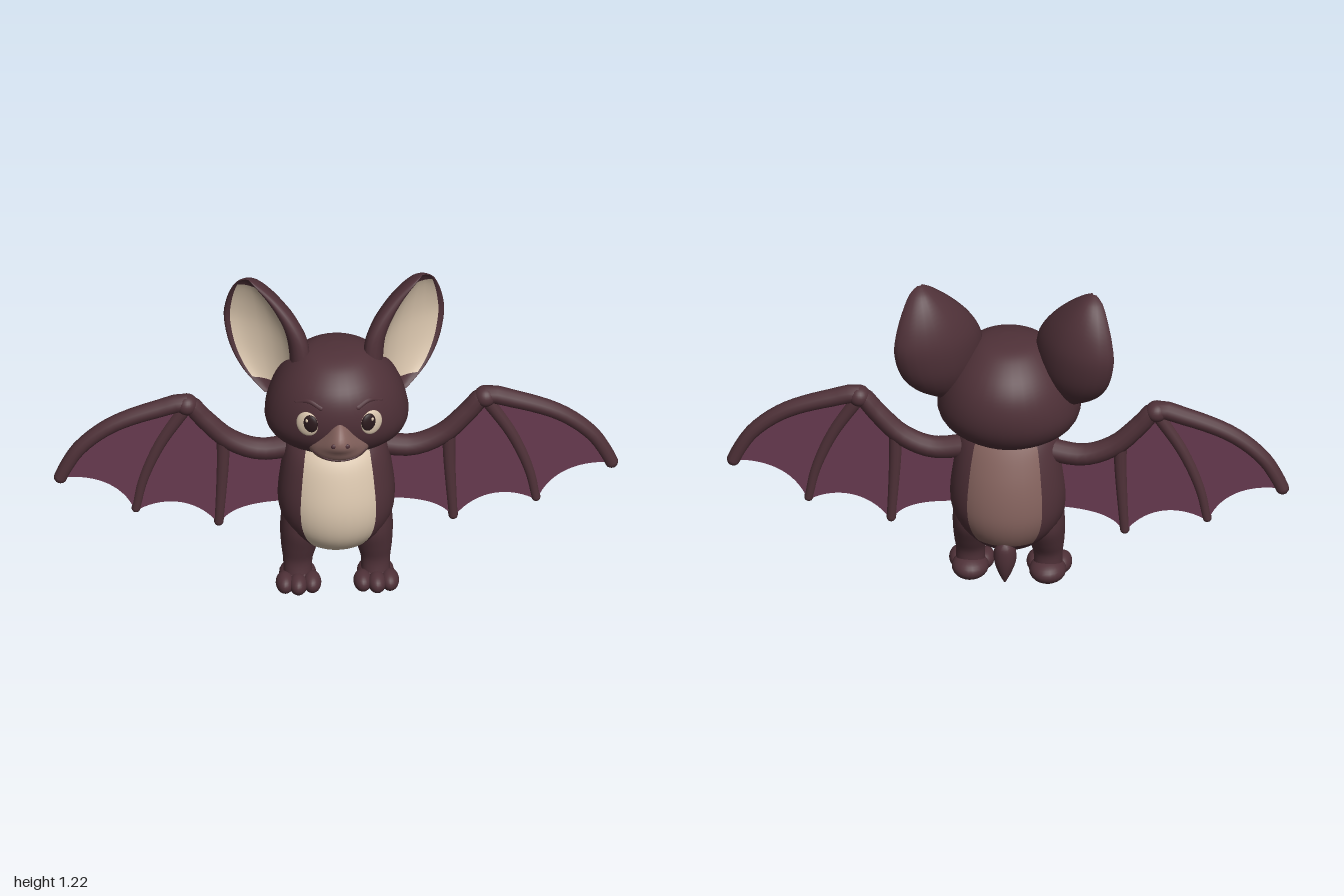
import * as THREE from 'three';

const mat = (name, color) => {
  const m = new THREE.MeshStandardMaterial({ color });
  m.name = name;
  return m;
};

// Adds smooth in-between rows to a list of number rows
function smooth(rows, n) {
  const out = [], at = (i) => rows[Math.min(Math.max(i, 0), rows.length - 1)];
  for (let i = 0; i < rows.length - 1; i++) {
    for (let s = 0; s < n; s++) {
      const t = s / n;
      out.push(rows[i].map((b, k) => {
        const a = at(i - 1)[k], c = at(i + 1)[k], d = at(i + 2)[k];
        return b + 0.5 * t * (c - a + t * (2 * a - 5 * b + 4 * c - d + t * (3 * (b - c) + d - a)));
      }));
    }
  }
  out.push(rows[rows.length - 1]);
  return out;
}

// Skins a stack of rings; pick(row, column) gives the material index of a face
function loft(rings, pick = () => 0) {
  const n = rings[0].length, faces = [[], [], []], pos = [];
  rings.forEach((r) => r.forEach((p) => pos.push(...p)));
  for (const r of [rings[0], rings[rings.length - 1]]) {
    for (let k = 0; k < 3; k++) pos.push(r.reduce((s, p) => s + p[k], 0) / n);
  }
  const last = rings.length - 1, low = rings.length * n;
  for (let j = 0; j < n; j++) {
    const j1 = (j + 1) % n;
    faces[pick(0, j)].push(low, j1, j);
    for (let i = 0; i < last; i++) {
      const a = i * n + j, b = i * n + j1;
      faces[pick(i, j)].push(a, b, b + n, a, b + n, a + n);
    }
    faces[pick(last, j)].push(low + 1, last * n + j, last * n + j1);
  }
  const g = new THREE.BufferGeometry();
  g.setAttribute('position', new THREE.Float32BufferAttribute(pos, 3));
  g.setIndex(faces.flat());
  let start = 0;
  faces.forEach((f, k) => {
    if (f.length) g.addGroup(start, f.length, k);
    start += f.length;
  });
  g.computeVertexNormals();
  return g;
}

// Ring from row [y, half width, front z, back z, widest z, centre x]
const oval = ([y, rx, zf, zb, cz, cx = 0], n = 36) => Array.from({ length: n }, (_, j) => {
  const a = (j / n) * Math.PI * 2, c = Math.cos(a);
  return [cx + rx * Math.sin(a), y, cz + c * (c > 0 ? zf - cz : cz - zb)];
});

// Tube whose radius runs from r0 to r1, with round ends
function limb(name, pts, r0, r1, material) {
  const curve = new THREE.CatmullRomCurve3(pts.map(([x, y, z = -0.06]) => new THREE.Vector3(x, y, z)));
  const seg = 32, rad = 12, g = new THREE.TubeGeometry(curve, seg, 1, rad);
  const p = g.attributes.position, v = new THREE.Vector3(), group = new THREE.Group();
  for (let i = 0; i < p.count; i++) {
    const t = Math.floor(i / (rad + 1)) / seg, c = curve.getPointAt(t);
    v.fromBufferAttribute(p, i).sub(c).multiplyScalar(r0 + (r1 - r0) * t).add(c);
    p.setXYZ(i, v.x, v.y, v.z);
  }
  group.name = name;
  group.add(new THREE.Mesh(g, material));
  [[0, r0], [1, r1]].forEach(([t, r]) => {
    const end = new THREE.Mesh(new THREE.SphereGeometry(r, 12, 8), material);
    end.position.copy(curve.getPointAt(t));
    group.add(end);
  });
  group.children.forEach((m) => { m.name = name; });
  return group;
}

export function createModel() {
  const fur = mat('dark fur', 0x4f3138), cream = mat('cream', 0xd8c4ac), mauve = mat('mauve skin', 0x84625d);
  const lip = mat('lip', 0x927565), skin = mat('wing skin', 0x683a50), black = mat('pupil', 0x2a191c);
  skin.side = THREE.DoubleSide;
  const model = new THREE.Group();
  const add = (parent, name, geometry, material) => {
    const m = new THREE.Mesh(geometry, material);
    m.name = name;
    parent.add(m);
    return m;
  };
  const ball = (parent, name, material, at, size) => {
    const m = add(parent, name, new THREE.SphereGeometry(1, 24, 16).scale(...size), material);
    m.position.set(...at);
    return m;
  };

  // Body with belly and back patches
  const bodyRows = smooth([
    [0.15, 0.05, 0, -0.1, -0.04], [0.17, 0.1, 0.05, -0.14, -0.04], [0.2, 0.14, 0.09, -0.175, -0.04],
    [0.25, 0.18, 0.125, -0.205, -0.04], [0.31, 0.203, 0.142, -0.22, -0.04], [0.38, 0.208, 0.143, -0.218, -0.04],
    [0.46, 0.2, 0.127, -0.203, -0.04], [0.54, 0.187, 0.1, -0.177, -0.04], [0.6, 0.17, 0.06, -0.15, -0.04],
    [0.65, 0.13, 0.03, -0.12, -0.04]], 4);
  add(model, 'body', loft(bodyRows.map((r) => oval(r)), (i, j) => {
    if (j < 4 || j > 31) return 1;
    return j > 13 && j < 22 && bodyRows[i][0] > 0.2 ? 2 : 0;
  }), [fur, cream, mauve]);

  // Head, wide at the cheeks
  const headRows = smooth([
    [0.582, 0.07, 0.03, -0.12, -0.03], [0.6, 0.15, 0.09, -0.165, -0.02], [0.64, 0.222, 0.145, -0.215, -0.02],
    [0.7, 0.254, 0.187, -0.25, -0.02], [0.77, 0.249, 0.204, -0.262, -0.02], [0.84, 0.225, 0.199, -0.25, -0.02],
    [0.9, 0.188, 0.172, -0.215, -0.02], [0.95, 0.14, 0.118, -0.16, -0.02], [0.975, 0.095, 0.065, -0.11, -0.02],
    [0.985, 0.03, 0.01, -0.05, -0.02]], 4);
  add(model, 'head', loft(headRows.map((r) => oval(r))), fur);

  // Muzzle, with a lighter lower lip
  const muzzleRows = smooth([
    [0.61, 0.05, 0.15, 0.05, 0.1], [0.63, 0.09, 0.19, 0.05, 0.1], [0.66, 0.112, 0.226, 0.05, 0.1],
    [0.69, 0.108, 0.24, 0.05, 0.1], [0.72, 0.084, 0.258, 0.05, 0.1], [0.75, 0.06, 0.255, 0.05, 0.1],
    [0.78, 0.04, 0.227, 0.05, 0.1], [0.8, 0.02, 0.195, 0.05, 0.1]], 3);
  add(model, 'muzzle', loft(muzzleRows.map((r) => oval(r)), (i) => (muzzleRows[i][0] < 0.659 ? 1 : 0)), [mauve, lip]);
  model.add(limb('mouth', [[-0.09, 0.672, 0.179], [-0.05, 0.66, 0.212], [0, 0.656, 0.222],
    [0.05, 0.66, 0.212], [0.09, 0.672, 0.179]], 0.004, 0.004, fur));

  // Tail
  const tailRows = smooth([[0.06, 0.004, -0.168, -0.176, -0.172], [0.1, 0.024, -0.145, -0.193, -0.17],
    [0.15, 0.04, -0.123, -0.203, -0.165], [0.2, 0.035, -0.13, -0.202, -0.165], [0.225, 0.01, -0.16, -0.185, -0.17]], 4);
  add(model, 'tail', loft(tailRows.map((r) => oval(r, 16))), fur);

  // Ear section: u across, n towards the opening
  const section = new THREE.CatmullRomCurve3([
    [-1, 0], [-0.88, 0.25], [-0.68, 0.22], [-0.54, 0], [0, -0.28], [0.55, -0.2], [0.84, 0.02],
    [0.93, 0.1], [1, 0], [0.87, -0.5], [0.5, -0.88], [0, -1], [-0.5, -0.78], [-0.9, -0.35],
  ].map(([u, n]) => new THREE.Vector3(u, n, 0)), true);
  // Ear rows: y, x, z, half width, depth
  const earRows = smooth([
    [0.76, 0.22, -0.06, 0.04, 0.03], [0.82, 0.227, -0.07, 0.12, 0.07], [0.9, 0.237, -0.085, 0.166, 0.095],
    [1, 0.25, -0.1, 0.176, 0.1], [1.08, 0.265, -0.105, 0.148, 0.09], [1.15, 0.285, -0.105, 0.1, 0.07],
    [1.2, 0.304, -0.1, 0.05, 0.045], [1.222, 0.31, -0.095, 0.012, 0.012]], 4);
  const earRings = earRows.map(([y, x, z, w, t]) => Array.from({ length: 28 }, (_, k) => {
    const p = section.getPoint(k / 28), u = p.x * w, n = p.y * t;
    return [x + 0.8 * u + 0.6 * n, y, z - 0.6 * u + 0.8 * n];
  }));
  const earGeo = loft(earRings, (i, j) => (j > 5 && j < 12 && earRows[i][0] > 0.79 && earRows[i][0] < 1.17 ? 1 : 0));

  // Wing membrane with scalloped lower edge
  const arm = [[0.12, 0.555], [0.27, 0.535], [0.38, 0.58], [0.47, 0.67], [0.53, 0.735], [0.63, 0.715],
    [0.8, 0.65], [0.91, 0.56], [0.96, 0.48], [0.978, 0.44]];
  const web = new THREE.Shape();
  web.moveTo(0.12, 0.32);
  arm.forEach(([x, y]) => web.lineTo(x, y));
  web.bezierCurveTo(0.88, 0.45, 0.76, 0.42, 0.712, 0.29);
  web.bezierCurveTo(0.63, 0.345, 0.5, 0.35, 0.415, 0.225);
  web.bezierCurveTo(0.38, 0.3, 0.28, 0.32, 0.12, 0.32);
  const webGeo = new THREE.ExtrudeGeometry(web, { depth: 0.012, bevelEnabled: false, curveSegments: 16 });
  webGeo.translate(0, 0, -0.066);

  // Leg rows
  const legRows = smooth([
    [0.04, 0.052, 0.04, -0.06, -0.01, 0.138], [0.1, 0.052, 0.03, -0.06, -0.015, 0.138],
    [0.16, 0.064, 0.045, -0.09, -0.02, 0.133], [0.24, 0.075, 0.065, -0.125, -0.03, 0.125],
    [0.34, 0.07, 0.06, -0.12, -0.03, 0.12]], 4);

  for (const s of [1, -1]) {
    const side = new THREE.Group();
    side.name = s > 0 ? 'leftSide' : 'rightSide';
    side.scale.x = s;
    model.add(side);
    add(side, 'ear', earGeo, [fur, cream]);

    // Wing
    add(side, 'wingMembrane', webGeo, skin);
    side.add(limb('wingArm', arm, 0.042, 0.024, fur));
    side.add(limb('longFinger', [[0.53, 0.725], [0.625, 0.57], [0.685, 0.42], [0.71, 0.3]], 0.026, 0.016, fur));
    side.add(limb('shortFinger', [[0.4, 0.6], [0.402, 0.48], [0.408, 0.36], [0.416, 0.235]], 0.026, 0.017, fur));
    ball(side, 'wristJoint', fur, [0.53, 0.73, -0.06], [0.04, 0.038, 0.042]);

    // Leg and three-toed foot with a flat sole
    add(side, 'leg', loft(legRows.map((r) => oval(r, 20))), fur);
    const foot = [ball(side, 'foot', fur, [0.138, 0.032, -0.025], [0.066, 0.044, 0.075])];
    for (const [x, z] of [[0.09, 0.035], [0.14, 0.048], [0.186, 0.035]]) {
      foot.push(ball(side, 'toe', fur, [x, 0.03, z], [0.033, 0.036, 0.052]));
    }
    foot.forEach((m) => {
      const p = m.geometry.attributes.position;
      for (let i = 0; i < p.count; i++) p.setY(i, Math.max(p.getY(i), -m.position.y));
    });

    // Eye, brow and nostril
    const eye = new THREE.Group();
    eye.name = 'eye';
    eye.position.set(0.114, 0.785, 0.176);
    eye.rotation.set(-0.06, 0.46, 0, 'YXZ');
    side.add(eye);
    ball(eye, 'eyeWhite', cream, [0, 0, 0], [0.042, 0.047, 0.013]);
    ball(eye, 'pupil', black, [-0.014, 0.007, 0.006], [0.029, 0.034, 0.011]);
    ball(eye, 'eyeGlint', cream, [-0.004, 0.02, 0.014], [0.006, 0.007, 0.004]);
    side.add(limb('brow', [[0.065, 0.85, 0.178], [0.105, 0.866, 0.156], [0.15, 0.85, 0.129]], 0.011, 0.007, fur));
    ball(side, 'nostril', fur, [0.024, 0.732, 0.249], [0.01, 0.009, 0.006]);
  }
  return model;
}
